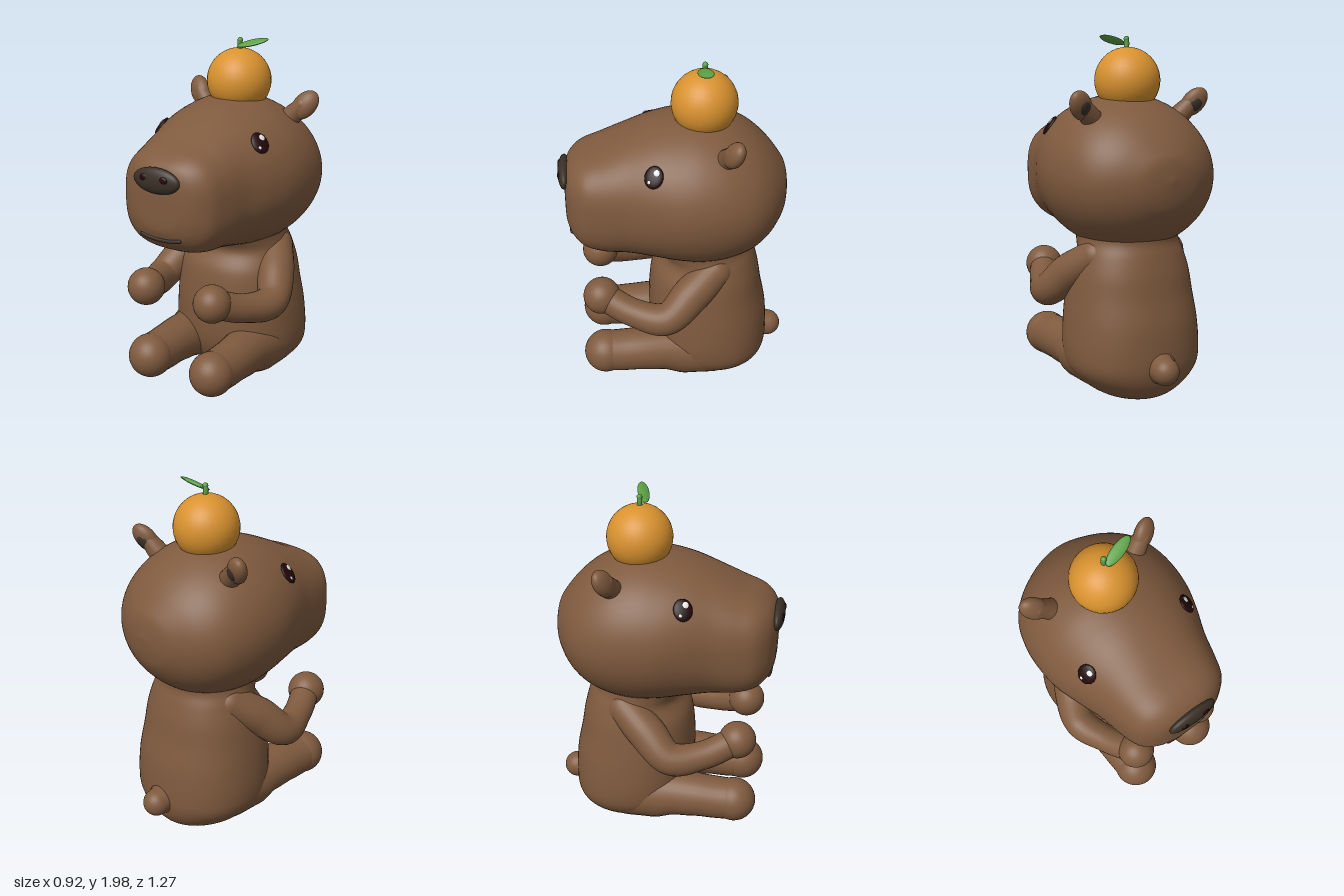
import * as THREE from 'three';
import { mergeGeometries, mergeVertices } from 'three/addons/utils/BufferGeometryUtils.js';

const V = (x, y, z) => new THREE.Vector3(x, y, z);

const paint = (name, color) => {
  const m = new THREE.MeshStandardMaterial({ color });
  m.name = name;
  return m;
};

// Skin over rounded sections [position, halfWidth, low, high, roundness] along y or z
function loft(sections, axis, steps = 64, around = 64) {
  const spline = (f) => new THREE.CatmullRomCurve3(sections.map(f), false, 'catmullrom', 0.5);
  const size = spline((s) => V(s[0], s[1], s[4]));
  const span = spline((s) => V(s[2], s[3], 0));
  const pos = [], index = [];
  for (let i = 0; i <= steps; i++) {
    const a = size.getPoint(i / steps), b = span.getPoint(i / steps);
    const w = Math.max(a.y, 0), mid = (b.x + b.y) / 2, h = Math.max((b.y - b.x) / 2, 0);
    for (let j = 0; j < around; j++) {
      const t = (j / around) * Math.PI * 2, c = Math.cos(t), s = Math.sin(t);
      const x = w * Math.sign(c) * Math.abs(c) ** (2 / a.z);
      const v = h * Math.sign(s) * Math.abs(s) ** (2 / a.z);
      if (axis === 'z') pos.push(x, mid + v, a.x);
      else pos.push(x, a.x, mid - v);
      if (i < steps) {
        const k = i * around, n = (j + 1) % around;
        index.push(k + j, k + n, k + around + j, k + n, k + around + n, k + around + j);
      }
    }
  }
  let geo = new THREE.BufferGeometry();
  geo.setAttribute('position', new THREE.Float32BufferAttribute(pos, 3));
  geo.setIndex(index);
  geo = mergeVertices(geo, 1e-5);
  geo.computeVertexNormals();
  return geo;
}

// Tapered tube through [x, y, z, radius] points with a ball at each end
function limb(points, tipRadius, side = 1) {
  const path = points.map((p) => V(p[0] * side, p[1], p[2]));
  const tube = new THREE.TubeGeometry(new THREE.CatmullRomCurve3(path), 40, 1, 28);
  const { position, normal } = tube.attributes;
  const last = points.length - 1;
  for (let i = 0; i < position.count; i++) {
    const u = (Math.floor(i / 29) / 40) * last, k = Math.min(Math.floor(u), last - 1);
    const f = THREE.MathUtils.smoothstep(u - k, 0, 1);
    const d = THREE.MathUtils.lerp(points[k][3], points[k + 1][3], f) - 1;
    position.setXYZ(i, position.getX(i) + normal.getX(i) * d,
      position.getY(i) + normal.getY(i) * d, position.getZ(i) + normal.getZ(i) * d);
  }
  const ball = (p, r) => new THREE.SphereGeometry(r, 32, 20).translate(p.x, p.y, p.z);
  return mergeGeometries([tube, ball(path[0], points[0][3]), ball(path[last], tipRadius)]);
}

export function createModel() {
  const model = new THREE.Group();
  model.name = 'sittingAnimal';
  const fur = paint('brown fur', 0x7f5a3e);
  const dark = paint('dark nose', 0x3a3027);
  const black = paint('eye black', 0x210709);
  const white = paint('eye highlight', 0xf2f0f0);
  const orange = paint('orange peel', 0xd9922f);
  const green = paint('leaf green', 0x5ca045);

  const add = (name, geo, mat, parent = model) => {
    const mesh = new THREE.Mesh(geo, mat);
    mesh.name = name;
    parent.add(mesh);
    return mesh;
  };
  const blob = (name, mat, at, radii, parent) => {
    const mesh = add(name, new THREE.SphereGeometry(1, 32, 20), mat, parent);
    mesh.position.set(...at);
    mesh.scale.set(...radii);
    return mesh;
  };

  // Head, from the back of the skull to the blunt snout
  const head = add('head', loft([
    [-0.62, 0, 1.25, 1.25, 2], [-0.605, 0.11, 1.14, 1.35, 2], [-0.575, 0.2, 1.06, 1.41, 2],
    [-0.5, 0.32, 0.965, 1.505, 2], [-0.4, 0.405, 0.89, 1.59, 2], [-0.27, 0.45, 0.84, 1.655, 2],
    [-0.13, 0.462, 0.825, 1.68, 2], [0, 0.45, 0.84, 1.67, 2], [0.13, 0.41, 0.87, 1.64, 2.1],
    [0.27, 0.355, 0.9, 1.585, 2.3], [0.4, 0.32, 0.92, 1.525, 2.6], [0.5, 0.285, 0.955, 1.485, 2.8],
    [0.56, 0.225, 1.005, 1.445, 2.8], [0.59, 0.16, 1.06, 1.4, 2.7], [0.6, 0.1, 1.11, 1.35, 2.5],
    [0.602, 0, 1.23, 1.23, 2.5],
  ], 'z', 90), fur);
  const onHead = (from, dir) => new THREE.Raycaster(V(...from), V(...dir)).intersectObject(head)[0];

  // Body, from the seat up into the neck
  add('body', loft([
    [0.008, 0, -0.22, -0.22, 2], [0.025, 0.12, -0.37, -0.08, 2], [0.06, 0.21, -0.46, 0, 2],
    [0.12, 0.295, -0.51, 0.06, 2.1], [0.2, 0.36, -0.535, 0.11, 2.2], [0.3, 0.378, -0.54, 0.14, 2.2],
    [0.45, 0.37, -0.53, 0.15, 2.2], [0.6, 0.35, -0.5, 0.145, 2.2], [0.72, 0.33, -0.48, 0.125, 2.2],
    [0.82, 0.3, -0.455, 0.075, 2.1], [0.89, 0.285, -0.435, 0.11, 2], [0.97, 0.28, -0.43, 0.16, 2],
    [1.05, 0.25, -0.35, 0.1, 2],
  ], 'y'), fur);

  add('tail', limb([[0, 0.26, -0.34, 0.2], [0, 0.24, -0.47, 0.13], [0, 0.225, -0.56, 0.075]], 0.075), fur);

  for (const side of [1, -1]) {
    const label = side > 0 ? 'left' : 'right';
    add(label + 'Arm', limb([[0.22, 0.81, -0.21, 0.1], [0.31, 0.71, -0.07, 0.105],
      [0.37, 0.595, 0.07, 0.092], [0.31, 0.6, 0.25, 0.08], [0.222, 0.665, 0.425, 0.08]], 0.104, side), fur);
    add(label + 'Leg', limb([[0.19, 0.25, -0.2, 0.17], [0.2, 0.25, 0, 0.165],
      [0.21, 0.25, 0.2, 0.132], [0.21, 0.245, 0.32, 0.122], [0.21, 0.245, 0.415, 0.118]], 0.124, side), fur);

    // Ear: short root, flattened lobe and a dark patch on its back
    add(label + 'EarRoot', limb([[0.24, 1.52, -0.24, 0.08], [0.29, 1.575, -0.26, 0.055],
      [0.34, 1.63, -0.275, 0.045]], 0.045, side), fur);
    const ear = new THREE.Group();
    ear.name = label + 'Ear';
    ear.position.set(side * 0.352, 1.63, -0.28);
    ear.rotation.set(-0.3, side * 0.25, -side * 0.6);
    model.add(ear);
    blob('earLobe', fur, [0, 0, 0], [0.064, 0.092, 0.045], ear);
    blob('earPatch', dark, [0, -0.005, -0.033], [0.036, 0.045, 0.018], ear);

    // Eye lying on the head, with two highlights
    const hit = onHead([side, 1.5, 0.13], [-side, 0, 0]);
    const eye = new THREE.Group();
    eye.name = label + 'Eye';
    eye.position.copy(hit.point);
    eye.lookAt(hit.point.clone().add(hit.face.normal));
    model.add(eye);
    blob('eyeball', black, [0, 0, 0], [0.051, 0.06, 0.016], eye);
    blob('largeHighlight', white, [0.014, 0.023, 0.013], [0.017, 0.018, 0.005], eye);
    blob('smallHighlight', white, [-0.018, -0.029, 0.011], [0.009, 0.01, 0.004], eye);

    blob(label + 'Nostril', black, [side * 0.062, 1.37, 0.627], [0.026, 0.02, 0.009]);
  }

  blob('nose', dark, [0, 1.355, 0.6], [0.146, 0.07, 0.036]);

  // Mouth: a shallow smile following the snout
  const smile = [-0.12, -0.08, -0.04, 0, 0.04, 0.08, 0.12].map((x) =>
    onHead([x, 1.027 + x * x * 0.9, 2], [0, 0, -1]).point);
  const mouth = limb(smile.map((p) => [p.x, p.y, p.z, 0.011]), 0.011);
  add('mouth', mouth, dark);

  // Fruit resting on the head
  blob('fruit', orange, [0, 1.75, -0.158], [0.179, 0.179, 0.179]);
  add('stem', limb([[0.008, 1.91, -0.158, 0.015], [0.004, 1.945, -0.158, 0.014],
    [0.006, 1.972, -0.158, 0.014]], 0.015), green);
  const leaf = blob('leaf', green, [0.09, 1.965, -0.153], [0.092, 0.012, 0.034]);
  leaf.rotation.set(0.35, 0.26, 0.25, 'YZX');

  return model;
}
